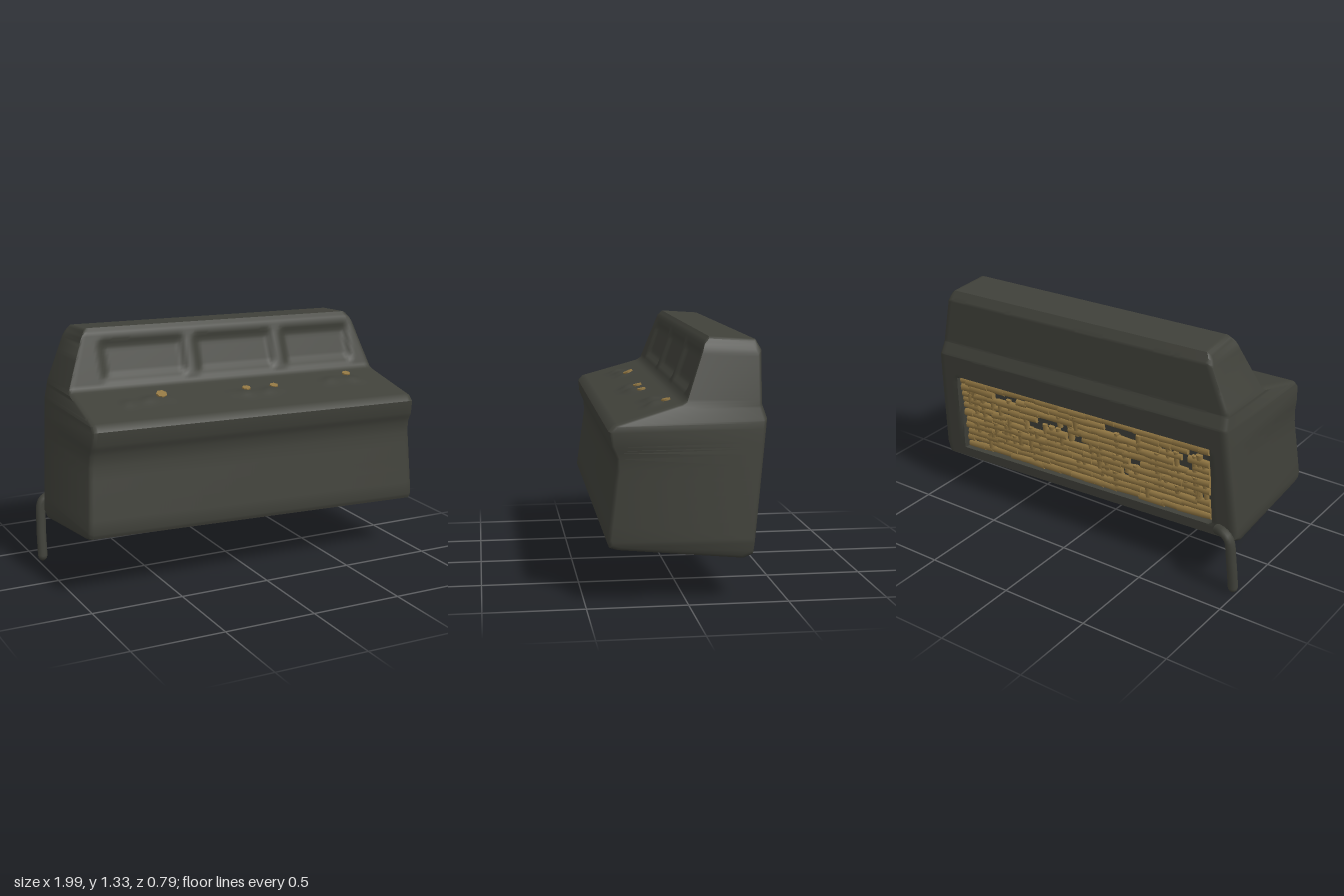
import * as THREE from 'three';
import { mergeGeometries, toCreasedNormals } from 'three/addons/utils/BufferGeometryUtils.js';

const { lerp, smoothstep } = THREE.MathUtils;

// Side profile as two chains of [y, z], both from the bottom up
const BACK = [[0.24, -0.27], [0.262, -0.315], [0.92, -0.385], [0.99, -0.362], [1.25, -0.367], [1.3, -0.34], [1.315, -0.12]];
const FRONT = [
  [0.24, -0.27], [0.306, 0.345], [0.32, 0.385], [0.345, 0.395], [0.69, 0.35], [0.75, 0.352], [0.81, 0.378],
  [0.88, 0.385], [0.91, 0.36], [1.003, 0.025], [1.02, 0.0], [1.29, -0.097], [1.315, -0.12],
];
// Per height: left half width, right half width, narrowing of the right end at the back
const WIDTHS = [
  [0.2, 0.97, 0.97, 0.01], [0.32, 0.965, 0.993, 0.015], [0.9, 0.922, 0.988, 0.05],
  [1.01, 0.912, 0.962, 0.045], [1.28, 0.805, 0.872, 0.01], [1.33, 0.77, 0.842, 0.01],
];
function sample(table, y, k = 1) {
  let i = 0;
  while (i < table.length - 2 && y > table[i + 1][0]) i++;
  const a = table[i], b = table[i + 1];
  return lerp(a[k], b[k], (y - a[0]) / (b[0] - a[0]));
}

const soft = (v, a, b, e) => smoothstep(v, a, a + e) * (1 - smoothstep(v, b - e, b));
const SCREENS = [[-0.72, -0.2], [-0.17, 0.34], [0.37, 0.84]];
const RIDGES = [[-0.72, -0.36, 0.17], [-0.1, 0.3, 0.18], [0.48, 0.84, 0.14]];
const tilt = (x, y) => y - x * (y < 0.6 ? 0.028 : 0.022);
const skew = (x, z) => (z < 0 ? z - 0.015 * x * Math.min(1, -z / 0.3) : z);

// Casing: the profile swept across x, with rounded ends closed by level strips
function casingGeometry() {
  const set = new Set([0.32, 0.332, 0.778, 0.79]);
  for (const chain of [BACK, FRONT]) for (const p of chain) set.add(p[0]);
  const fill = (a, b, n) => { for (let i = 1; i < n; i++) set.add(lerp(a, b, i / n)); };
  fill(0.345, 0.69, 5);
  fill(0.91, 1.003, 18);
  fill(1.02, 1.29, 16);
  const levels = [...set].sort((a, b) => a - b);
  const m = levels.length, n = 2 * m;
  const pts = [
    ...levels.map((y) => ({ y, z: sample(BACK, y), back: true })),
    ...[...levels].reverse().map((y) => ({ y, z: sample(FRONT, y), back: false })),
  ];
  const rings = [[0, 0.05], [0.008, 0.02], [0.025, 0]]; // [distance from the end, shrink]
  const stations = rings.map(([d, s]) => [-1 + d, s]);
  const N = 96;
  for (let i = 1; i < N; i++) stations.push([lerp(-0.975, 0.975, i / N), 0]);
  for (const [d, s] of [...rings].reverse()) stations.push([1 - d, s]);

  const pos = [], idx = [];
  for (const [s, shrink] of stations) {
    for (const p of pts) {
      let z = lerp(p.z, 0, shrink), y = lerp(p.y, 0.72, shrink * 0.8);
      const right = sample(WIDTHS, p.y, 2) - sample(WIDTHS, p.y, 3) * (0.39 - p.z) / 0.78;
      const x = lerp(-sample(WIDTHS, p.y), right, (s + 1) / 2);
      if (p.back) {
        z += 0.035 * soft(x, -0.83, 0.835, 0.03) * soft(p.y, 0.32, 0.79, 0.012);
      } else if (p.y >= 1.02) {
        let d = 0;
        for (const [a, b] of SCREENS) d = Math.max(d, soft(x, a, b, 0.05) * soft(p.y, 1.035, 1.265, 0.05));
        z -= 0.02 * d;
        y -= 0.007 * d;
      } else if (p.y > 0.91 && p.y < 1.003) {
        for (const [a, b, c] of RIDGES) {
          const wave = 0.7 + 0.3 * Math.sin(x * 45);
          y += 0.016 * wave * soft(x, a, b, 0.08) * Math.exp(-(((p.z - c - 0.012 * Math.sin(x * 17)) / 0.035) ** 2));
        }
      }
      pos.push(x, tilt(x, y), skew(x, z));
    }
  }
  for (let i = 0; i < stations.length - 1; i++) {
    for (let j = 0; j < n; j++) {
      const a = i * n + j, b = i * n + (j + 1) % n;
      idx.push(a, b, a + n, b, b + n, a + n);
    }
  }
  const last = (stations.length - 1) * n;
  for (let j = 0; j < m - 1; j++) {
    const a = j, b = j + 1, c = n - 2 - j, d = n - 1 - j;
    idx.push(a, d, c, a, c, b);
    idx.push(last + a, last + c, last + d, last + a, last + b, last + c);
  }
  const g = new THREE.BufferGeometry();
  g.setAttribute('position', new THREE.Float32BufferAttribute(pos, 3));
  g.setIndex(idx);
  return toCreasedNormals(g, 0.75);
}

// Rough woven grille set into the sloping back
function grilleGeometry() {
  let seed = 7;
  const rnd = () => (seed = (seed * 16807) % 2147483647) / 2147483647;
  const parts = [];
  const strand = (x, y, length, thick, upright) => {
    const g = new THREE.CylinderGeometry(thick * (0.8 + rnd() * 0.3), thick * (0.8 + rnd() * 0.3), length, 7);
    if (!upright) g.rotateZ(Math.PI / 2);
    g.scale(1, 1, 0.75);
    g.rotateX(-0.106);
    g.rotateY(0.015 + (rnd() - 0.5) * 0.1);
    g.rotateZ(-0.028 + (rnd() - 0.5) * 0.08);
    g.translate(x, tilt(x, y), skew(x, -0.315 - 0.106 * (y - 0.262)) + 0.027);
    parts.push(g);
  };
  const x0 = -0.8, x1 = 0.81, y0 = 0.35, y1 = 0.762, rows = 11;
  for (let r = 0; r < rows; r++) {
    const y = lerp(y0, y1, r / (rows - 1)), edge = r < 1 || r === rows - 1;
    for (let x = x0; x < x1 - 0.02;) {
      const w = Math.min(0.05 + rnd() * 0.12, x1 - x);
      if (edge || rnd() > 0.08) strand(x + w / 2, y + (rnd() - 0.5) * 0.01, w + 0.012, 0.021 + rnd() * 0.004, false);
      x += w;
    }
  }
  // Upright strands
  for (let i = 0; i < 90; i++) {
    strand(lerp(x0 + 0.02, x1 - 0.02, rnd()), lerp(y0 + 0.05, y1 - 0.05, rnd()), 0.06 + rnd() * 0.05, 0.014 + rnd() * 0.008, true);
  }
  return mergeGeometries(parts);
}

export function createModel() {
  const charcoal = new THREE.MeshStandardMaterial({ name: 'charcoal', color: 0x40413a });
  const brass = new THREE.MeshStandardMaterial({ name: 'brass', color: 0x917642 });
  const model = new THREE.Group();
  model.name = 'console';
  const add = (name, geometry, material) => {
    const mesh = new THREE.Mesh(geometry, material);
    mesh.name = name;
    model.add(mesh);
    return mesh;
  };

  add('casing', casingGeometry(), charcoal);
  add('backGrille', grilleGeometry(), brass);

  // Buttons on the control desk
  [[-0.44, 0.13], [0.06, 0.135], [0.23, 0.135], [0.73, 0.075]].forEach(([x, z], i) => {
    const radius = i ? 0.024 : 0.03;
    const button = add('button' + (i + 1), new THREE.CylinderGeometry(radius, radius, 0.009, 7), brass);
    const deskY = lerp(1.003, 0.91, (z - 0.025) / 0.335);
    button.position.set(x, tilt(x, deskY) + (i ? 0.006 : 0.012), z);
    button.rotation.x = i ? 0.22 : 0.4;
  });

  // Hooked leg at the back corner
  const path = new THREE.CatmullRomCurve3([
    [-0.87, 0.352, -0.335], [-0.925, 0.358, -0.36], [-0.957, 0.33, -0.362], [-0.97, 0.2, -0.35], [-0.975, 0.03, -0.328],
  ].map((p) => new THREE.Vector3(...p)));
  add('leg', new THREE.TubeGeometry(path, 24, 0.027, 10), charcoal);
  const tip = add('legTip', new THREE.SphereGeometry(0.0265, 10, 8), charcoal);
  tip.position.set(-0.975, 0.03, -0.328);
  tip.scale.y = 1.13;

  return model;
}
